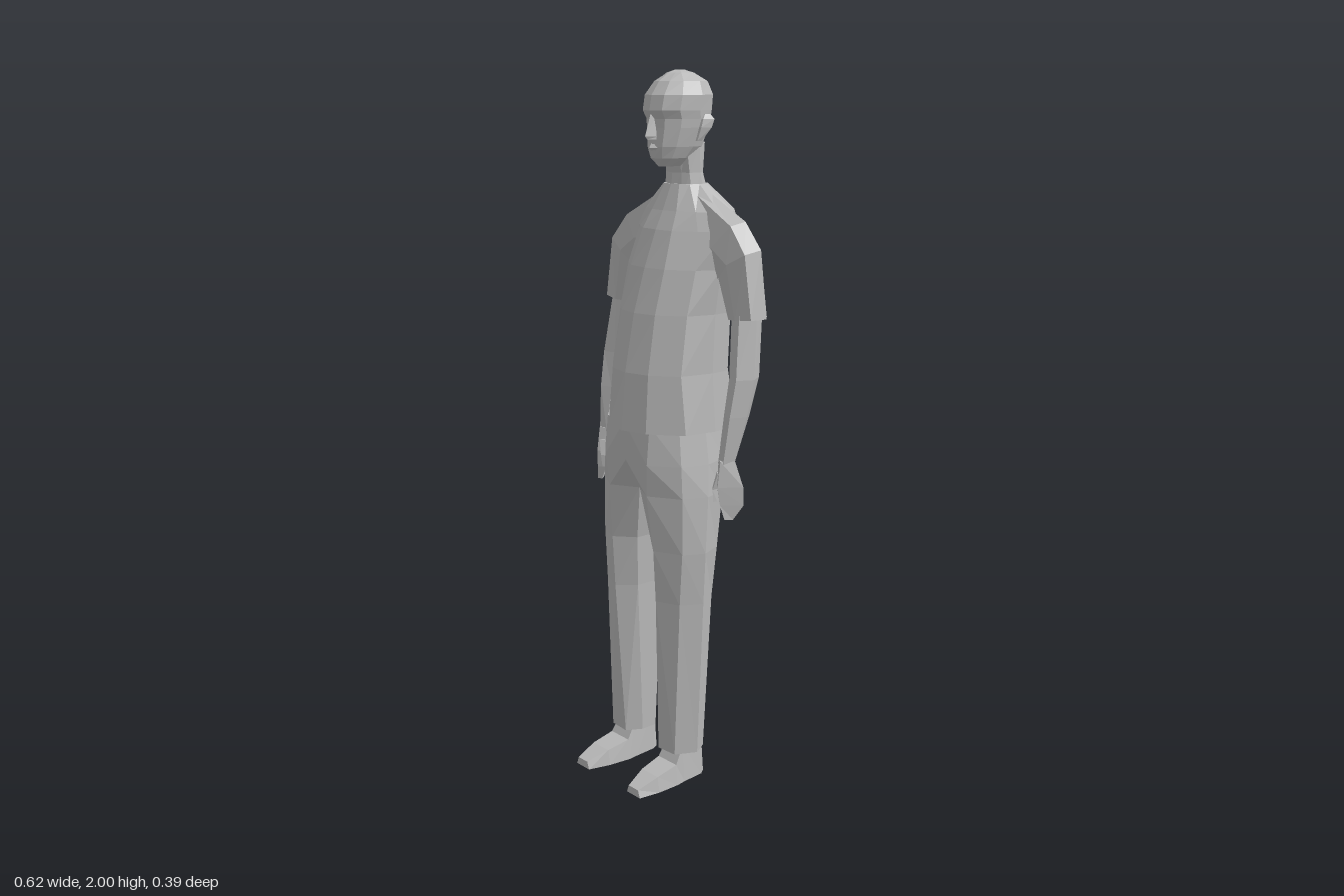
import * as THREE from 'three';

const grey = new THREE.MeshStandardMaterial({ color: 0xb8b8b8, flatShading: true });
grey.name = 'plain grey';

// Skin a stack of closed rings of [x, y, z] points and cap both ends.
function loft(name, rings, side = 1) {
  const n = rings[0].length, pos = [], idx = [];
  for (const ring of rings) for (const [x, y, z] of ring) pos.push(x * side, y, z);
  for (let r = 0; r < rings.length - 1; r++) {
    for (let i = 0; i < n; i++) {
      const a = r * n + i, b = r * n + (i + 1) % n;
      idx.push(a, b, b + n, a, b + n, a + n);
    }
  }
  for (const r of [0, rings.length - 1]) {
    const c = pos.length / 3, mid = [0, 0, 0];
    for (const p of rings[r]) for (let k = 0; k < 3; k++) mid[k] += p[k] / n;
    pos.push(mid[0] * side, mid[1], mid[2]);
    for (let i = 0; i < n; i++) {
      const a = r * n + i, b = r * n + (i + 1) % n;
      if (r === 0) idx.push(c, b, a); else idx.push(c, a, b);
    }
  }
  // Make the faces point outward whichever way the rings run
  let volume = 0;
  const v = i => new THREE.Vector3().fromArray(pos, i * 3);
  for (let i = 0; i < idx.length; i += 3) volume += v(idx[i]).dot(v(idx[i + 1]).cross(v(idx[i + 2])));
  if (volume < 0) idx.reverse();
  const geo = new THREE.BufferGeometry();
  geo.setAttribute('position', new THREE.Float32BufferAttribute(pos, 3));
  geo.setIndex(idx);
  geo.computeVertexNormals();
  const mesh = new THREE.Mesh(geo, grey);
  mesh.name = name;
  return mesh;
}

// Level ring from [x, z] pairs
const level = (y, pts) => pts.map(([x, z]) => [x, y, z]);
// Half ring from front centre to back centre, mirrored into a full ring
const mirrored = (y, half) =>
  level(y, [...half, ...half.slice(1, -1).reverse().map(([x, z]) => [-x, z])]);
// Egg-shaped ring from front depth, back depth and half width
const oval = (y, f, b, w) => mirrored(y, [[0, f], [w * 0.48, f - 0.01], [w * 0.86, f - (f - b) * 0.24],
  [w, (f + b) / 2 - 0.01], [w * 0.86, b + (f - b) * 0.2], [w * 0.48, b + 0.01], [0, b]]);

function makeTorso() {
  return loft('shirt', [
    mirrored(1.04, [[0, .145], [.08, .125], [.165, .055], [.18, -.04], [.175, -.11], [.11, -.18], [0, -.195]]),
    mirrored(1.20, [[0, .13], [.075, .112], [.145, .055], [.167, -.04], [.162, -.1], [.1, -.157], [0, -.168]]),
    mirrored(1.36, [[0, .098], [.07, .083], [.14, .03], [.165, -.05], [.16, -.11], [.1, -.167], [0, -.178]]),
    mirrored(1.48, [[0, .06], [.07, .05], [.14, 0], [.175, -.06], [.17, -.12], [.1, -.18], [0, -.188]]),
    mirrored(1.58, [[0, .02], [.06, .015], [.12, -.025], [.185, -.07], [.18, -.12], [.11, -.185], [0, -.197]]),
    mirrored(1.63, [[0, -.005], [.05, -.01], [.1, -.035], [.15, -.075], [.15, -.125], [.1, -.178], [0, -.19]]),
    mirrored(1.70, [[0, -.035], [.03, -.038], [.053, -.055], [.065, -.08], [.06, -.11], [.045, -.13], [0, -.14]]),
  ]);
}

function makeHead() {
  const head = new THREE.Group();
  head.name = 'head';
  head.add(loft('neck', [oval(1.66, -.035, -.145, .066), oval(1.73, -.038, -.125, .056),
    oval(1.81, -.02, -.138, .055)]));
  head.add(loft('skull', [
    oval(1.748, .01, -.07, .028), oval(1.77, .028, -.095, .048), oval(1.80, .033, -.13, .063),
    oval(1.85, .03, -.147, .075), oval(1.873, .03, -.153, .078), oval(1.895, .042, -.157, .081),
    oval(1.935, .034, -.16, .083), oval(1.97, .008, -.145, .066), oval(1.992, -.025, -.105, .035),
    oval(2.0, -.05, -.075, .012),
  ]));
  head.add(loft('nose', [
    level(1.82, [[-.018, .02], [0, .05], [.018, .02]]),
    level(1.828, [[-.017, .02], [0, .057], [.017, .02]]),
    level(1.885, [[-.007, .02], [0, .038], [.007, .02]]),
  ]));
  head.add(loft('lips', [
    level(1.79, [[-.02, .02], [0, .036], [.02, .02]]),
    level(1.797, [[-.026, .018], [0, .043], [.026, .018]]),
    level(1.808, [[-.018, .02], [0, .036], [.018, .02]]),
  ]));
  for (const s of [1, -1]) {
    head.add(loft('ear', [
      level(1.815, [[.06, -.065], [.075, -.062], [.075, -.078], [.06, -.08]]),
      level(1.85, [[.065, -.068], [.084, -.068], [.09, -.1], [.065, -.095]]),
      level(1.872, [[.07, -.075], [.084, -.075], [.092, -.108], [.07, -.105]]),
      level(1.885, [[.07, -.085], [.08, -.085], [.084, -.1], [.07, -.1]]),
    ], s));
  }
  return head;
}

function makeArm(s) {
  const arm = new THREE.Group();
  arm.name = s > 0 ? 'leftArm' : 'rightArm';
  arm.add(loft('sleeve', [
    [[.06, 1.69, -.1], [.08, 1.67, -.06], [.08, 1.55, -.03], [.08, 1.45, -.06], [.08, 1.45, -.13], [.07, 1.6, -.178]],
    [[.225, 1.61, -.1], [.215, 1.6, -.055], [.16, 1.54, -.035], [.14, 1.45, -.05], [.14, 1.45, -.13], [.17, 1.56, -.17]],
    [[.285, 1.54, -.1], [.275, 1.53, -.05], [.22, 1.5, -.035], [.175, 1.46, -.05], [.175, 1.46, -.125], [.23, 1.5, -.157]],
    [[.31, 1.36, -.1], [.302, 1.36, -.05], [.25, 1.355, -.04], [.205, 1.35, -.06], [.205, 1.35, -.12], [.255, 1.355, -.155]],
  ], s));
  arm.add(loft('forearm', [
    level(1.42, [[.285, -.09], [.26, -.05], [.22, -.06], [.22, -.12], [.26, -.135]]),
    level(1.20, [[.303, -.065], [.28, -.02], [.243, -.03], [.24, -.085], [.275, -.11]]),
    level(1.10, [[.296, -.045], [.275, -.003], [.24, -.015], [.238, -.06], [.27, -.082]]),
    level(.97, [[.278, -.018], [.265, .01], [.24, .005], [.238, -.025], [.26, -.037]]),
  ], s));
  arm.add(loft('hand', [
    level(.98, [[.237, 0], [.26, .015], [.28, -.02], [.25, -.035]]),
    level(.91, [[.23, 0], [.26, .025], [.303, -.03], [.278, -.042]]),
    level(.86, [[.248, .002], [.265, .02], [.305, -.03], [.288, -.04]]),
    level(.82, [[.266, .003], [.275, .012], [.287, -.008], [.276, -.012]]),
  ], s));
  arm.add(loft('thumb', [
    level(.945, [[.232, .002], [.255, .02], [.25, -.012]]),
    level(.90, [[.222, .008], [.242, .026], [.24, -.002]]),
    level(.865, [[.232, .014], [.24, .022], [.241, .008]]),
  ], s));
  return arm;
}

function makeLeg(s) {
  const leg = new THREE.Group();
  leg.name = s > 0 ? 'leftLeg' : 'rightLeg';
  leg.add(loft('trouserLeg', [
    level(1.06, [[0, .125], [.09, .11], [.15, .055], [.172, -.02], [.15, -.11], [.08, -.16], [0, -.155]]),
    level(.95, [[0, .12], [.09, .12], [.165, .06], [.188, -.02], [.165, -.1], [.09, -.147], [0, -.13]]),
    level(.86, [[0, .07], [.08, .113], [.17, .06], [.198, -.01], [.17, -.09], [.09, -.127], [0, -.08]]),
    level(.70, [[.035, .05], [.09, .097], [.17, .06], [.2, 0], [.17, -.07], [.1, -.1], [.035, -.06]]),
    level(.55, [[.045, .04], [.09, .088], [.16, .06], [.192, 0], [.16, -.06], [.1, -.085], [.045, -.05]]),
    level(.09, [[.05, .02], [.075, .065], [.14, .06], [.17, 0], [.145, -.045], [.09, -.06], [.05, -.03]]),
  ], s));
  // Foot sections run from heel to toe: z, inner x, outer x, height
  leg.add(loft('foot', [[-.06, .08, .13, .09], [-.04, .07, .145, .12], [.03, .065, .15, .11],
    [.06, .062, .155, .06], [.13, .07, .155, .045], [.195, .088, .145, .022]].map(([z, a, b, h]) =>
    [[a, 0, z], [b, 0, z], [b - .008, h, z], [a + .008, h, z]]), s));
  return leg;
}

export function createModel() {
  const model = new THREE.Group();
  model.name = 'standingMan';
  const legs = new THREE.Group();
  legs.name = 'legs';
  legs.position.x = -0.012;
  model.add(makeTorso(), makeHead(), legs);
  for (const s of [1, -1]) {
    model.add(makeArm(s));
    legs.add(makeLeg(s));
  }
  return model;
}
